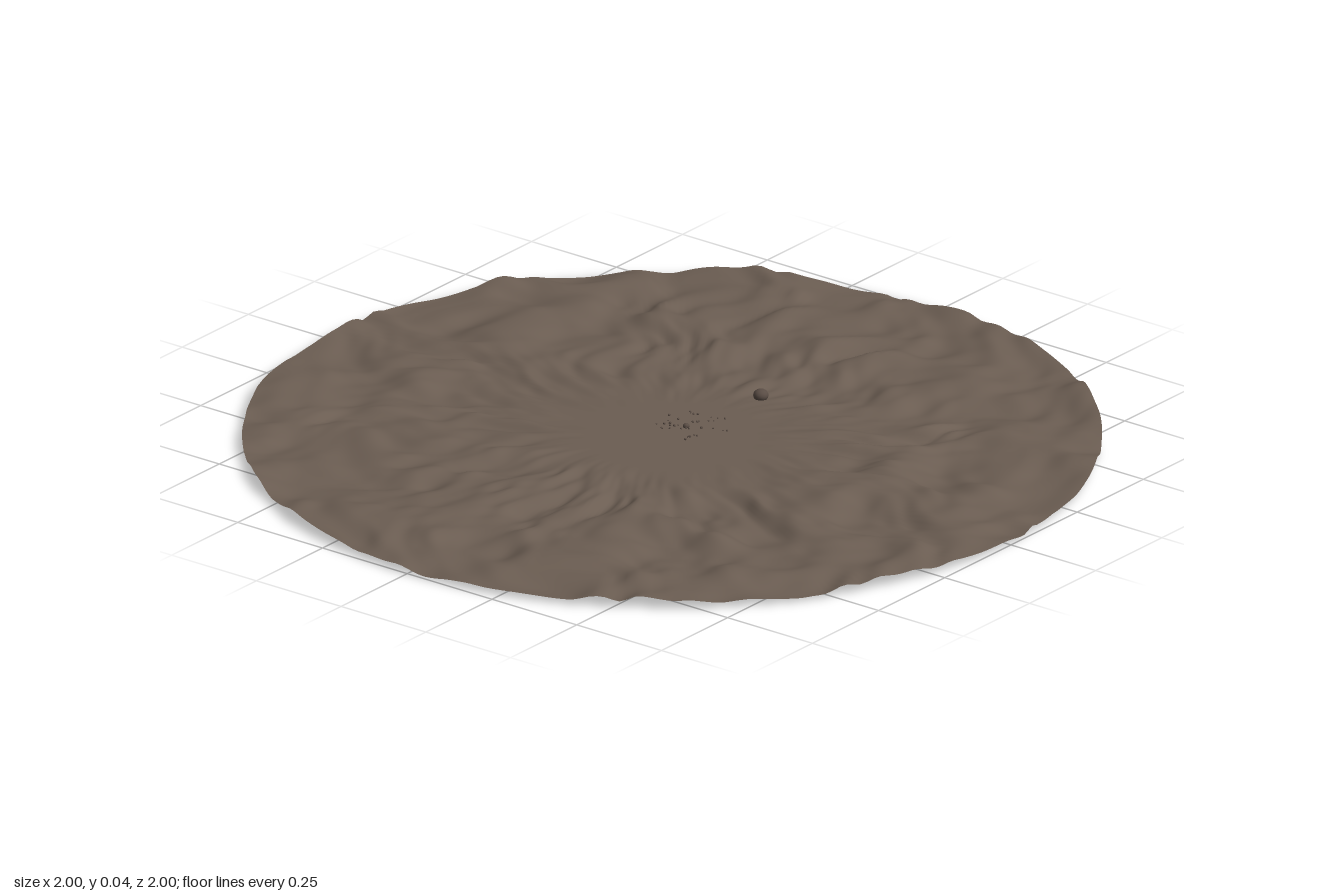
import * as THREE from 'three';

// Seeded lattice noise, smooth, about -1..1, wrapping in x after `period` cells
function hash(i, j, seed) {
  let h = Math.imul(i, 374761393) ^ Math.imul(j, 668265263) ^ Math.imul(seed, 974711);
  h = Math.imul(h ^ (h >>> 13), 1274126177);
  return ((h ^ (h >>> 16)) >>> 0) / 4294967296;
}

function noise(x, y, period, seed) {
  const i = Math.floor(x), j = Math.floor(y);
  const fx = x - i, fy = y - j;
  const u = fx * fx * (3 - 2 * fx), v = fy * fy * (3 - 2 * fy);
  const at = (a, b) => hash(((a % period) + period) % period, b, seed);
  const low = at(i, j) * (1 - u) + at(i + 1, j) * u;
  const high = at(i, j + 1) * (1 - u) + at(i + 1, j + 1) * u;
  return (low * (1 - v) + high * v) * 2 - 1;
}

// Ground height: flat middle, ripples running outward with finer folds near the middle
const FLOOR = 0.03;
function groundHeight(x, z) {
  const r = Math.hypot(x, z);
  const rise = THREE.MathUtils.smoothstep(r, 0.18, 0.5);
  if (rise === 0) return FLOOR;
  const turn = Math.atan2(z, x) / (2 * Math.PI) + 0.5;
  const bend = noise(x * 5 + 40, z * 5 + 40, 1000, 7) * 0.02;
  const t = turn + bend;
  const folds = noise(t * 64, r * 9 + bend * 20, 64, 1);
  const fine = noise(t * 110, r * 17, 110, 2);
  const broad = noise(x * 9 + 50, z * 9 + 50, 1000, 3);
  const h = folds * 0.014 + fine * 0.005 + broad * 0.006;
  return FLOOR + 0.002 * rise + rise * THREE.MathUtils.clamp(h, -0.021, 0.02);
}

// Disc of rings, lifted by the height rule
function groundGeometry(rings, sides) {
  const positions = [0, FLOOR, 0], index = [];
  for (let i = 1; i <= rings; i++) {
    for (let k = 0; k < sides; k++) {
      const a = (k / sides) * Math.PI * 2, r = i / rings;
      const x = Math.cos(a) * r, z = Math.sin(a) * r;
      positions.push(x, groundHeight(x, z), z);
    }
  }
  for (let k = 0; k < sides; k++) {
    const n = (k + 1) % sides;
    index.push(0, 1 + n, 1 + k);
    for (let i = 0; i < rings - 1; i++) {
      const a = 1 + i * sides + k, b = 1 + i * sides + n;
      index.push(a, b, a + sides, b, b + sides, a + sides);
    }
  }
  const geometry = new THREE.BufferGeometry();
  geometry.setAttribute('position', new THREE.Float32BufferAttribute(positions, 3));
  geometry.setIndex(index);
  geometry.computeVertexNormals();
  return geometry;
}

export function createModel() {
  const group = new THREE.Group();
  const soil = new THREE.MeshStandardMaterial({ color: 0x6b5d52, side: THREE.DoubleSide });
  soil.name = 'brown soil';
  const stone = new THREE.MeshStandardMaterial({ color: 0x5a4d45 });
  stone.name = 'dark stone';

  const ground = new THREE.Mesh(groundGeometry(110, 360), soil);
  ground.name = 'ground';
  group.add(ground);

  const addStone = (name, x, z, radius, detail) => {
    const mesh = new THREE.Mesh(new THREE.IcosahedronGeometry(radius, detail), stone);
    mesh.name = name;
    mesh.position.set(x, groundHeight(x, z) + radius * 0.5, z);
    mesh.scale.y = 0.85;
    mesh.rotation.y = x * 90;
    group.add(mesh);
  };

  // One boulder and a scatter of pebbles on the flat middle
  addStone('boulder', 0.02, -0.31, 0.018, 2);
  addStone('largePebble', -0.005, -0.06, 0.008, 1);
  addStone('outerPebble', 0.04, 0, 0.004, 0);
  for (let i = 0; i < 38; i++) {
    const a = hash(i, 1, 11) * Math.PI * 2, d = Math.sqrt(hash(i, 2, 11));
    addStone('pebble', Math.cos(a) * d * 0.1, -0.085 + Math.sin(a) * d * 0.075, 0.002 + hash(i, 3, 11) * 0.002, 0);
  }
  return group;
}
